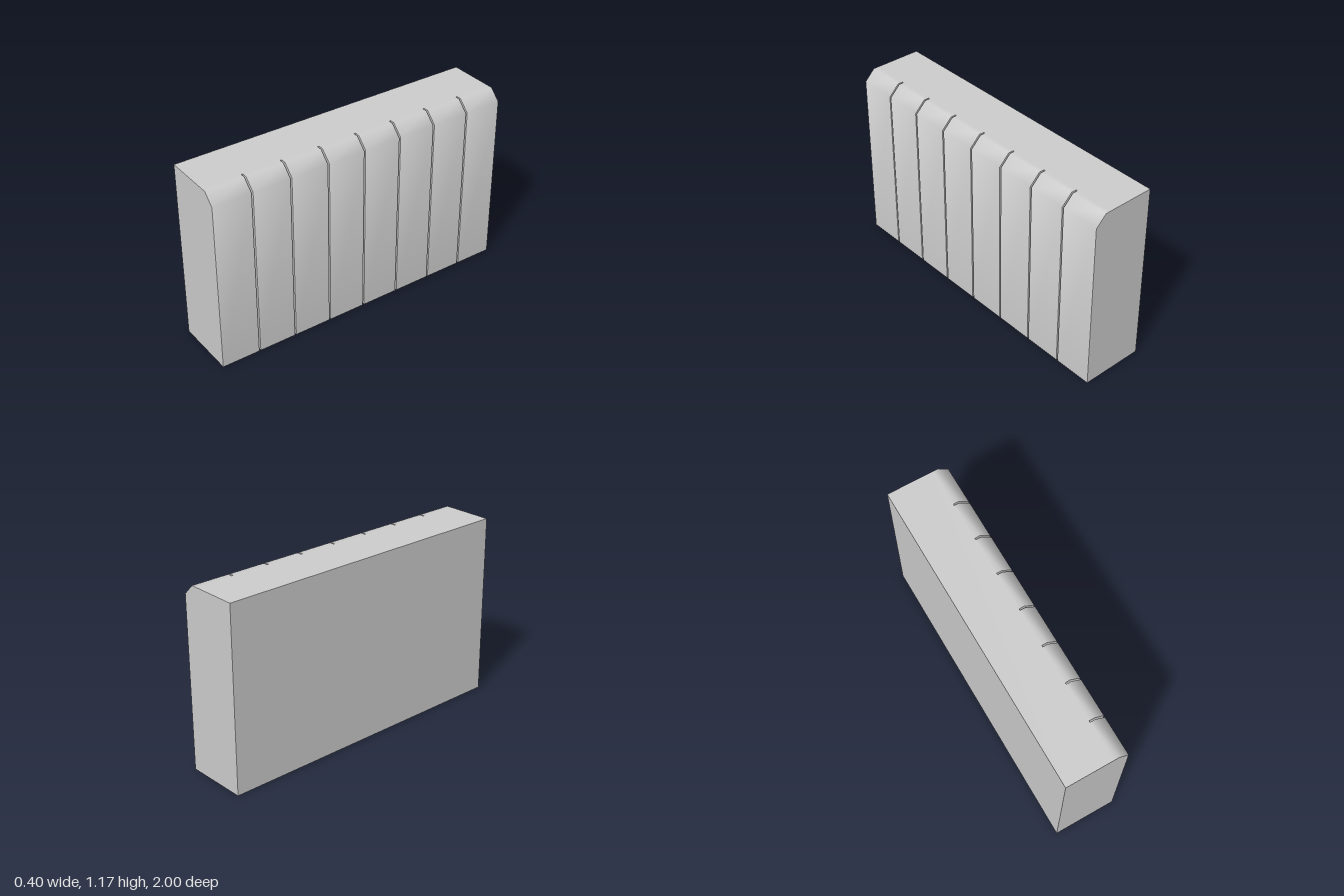
import * as THREE from 'three';
import { toCreasedNormals } from 'three/addons/utils/BufferGeometryUtils.js';

const HEIGHT = 1.167, HALF_WIDTH = 0.2, SLOT_X = 0.1, CHAMFER = 0.067;
const SLATS = 8, LENGTH = 2, GAP = 0.01;

export function createModel() {
  const group = new THREE.Group();
  const material = new THREE.MeshStandardMaterial({ color: 0xcccccc });

  // Solid backing block behind the slots
  const depth = HALF_WIDTH + SLOT_X;
  const block = new THREE.Mesh(new THREE.BoxGeometry(depth, HEIGHT, LENGTH), material);
  block.name = 'backingBlock';
  block.position.set((SLOT_X - HALF_WIDTH) / 2, HEIGHT / 2, 0);
  group.add(block);

  // Slat profile with a chamfered top edge
  const profile = new THREE.Shape([
    new THREE.Vector2(SLOT_X, 0),
    new THREE.Vector2(HALF_WIDTH, 0),
    new THREE.Vector2(HALF_WIDTH, HEIGHT - CHAMFER),
    new THREE.Vector2(HALF_WIDTH - CHAMFER, HEIGHT),
    new THREE.Vector2(SLOT_X, HEIGHT),
  ]);

  // Row of slats with narrow full-height slots between them, flush at both ends
  const pitch = LENGTH / SLATS;
  for (let i = 0; i < SLATS; i++) {
    const start = -LENGTH / 2 + i * pitch + (i > 0 ? GAP / 2 : 0);
    const end = -LENGTH / 2 + (i + 1) * pitch - (i < SLATS - 1 ? GAP / 2 : 0);
    const geometry = new THREE.ExtrudeGeometry(profile, { depth: end - start, bevelEnabled: false });
    // The chamfer shades softly into the top and face; square corners stay sharp
    const slat = new THREE.Mesh(toCreasedNormals(geometry, Math.PI / 3), material);
    slat.name = `slat${i + 1}`;
    slat.position.z = start;
    group.add(slat);
  }

  return group;
}
